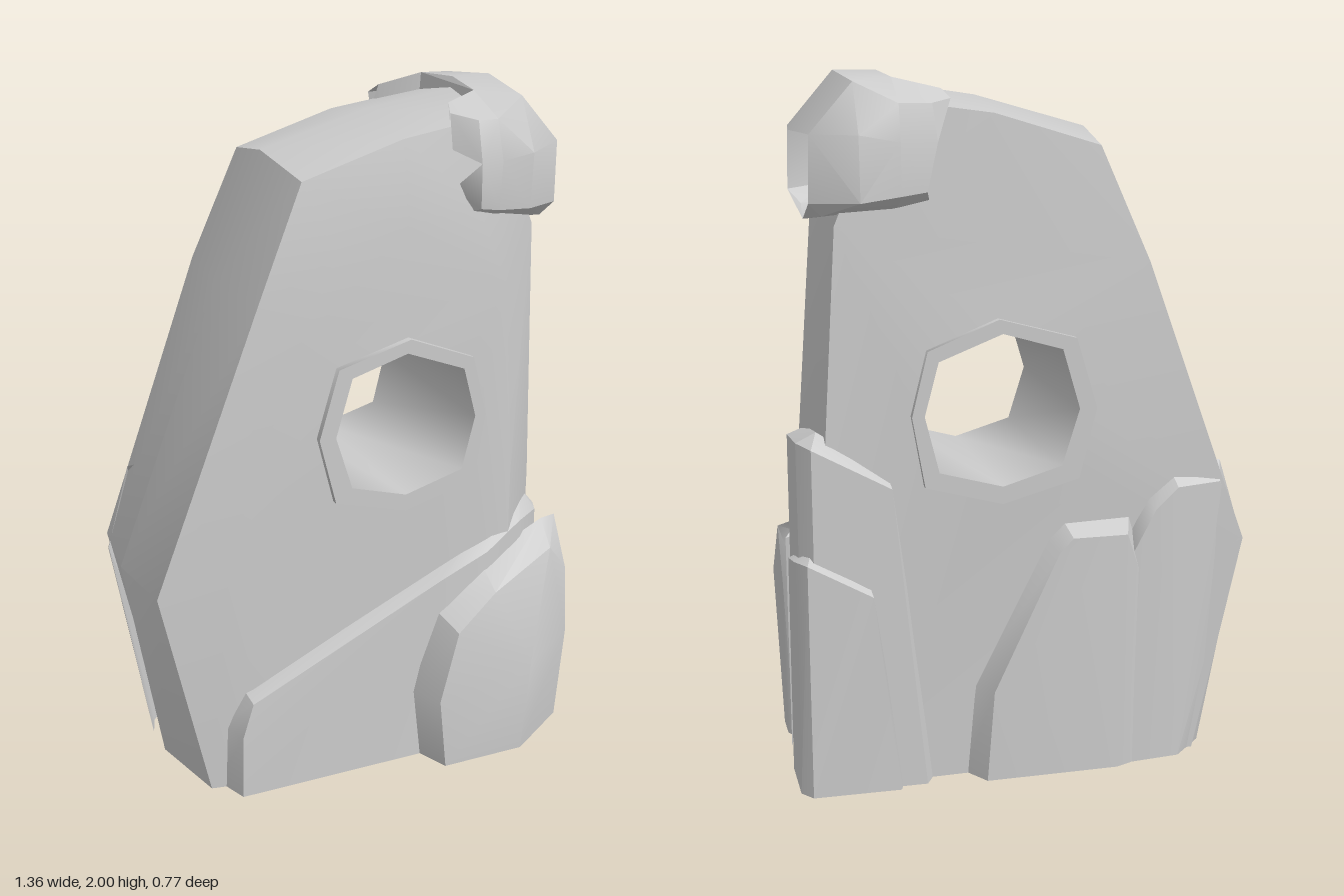
import * as THREE from 'three';
import { toCreasedNormals } from 'three/addons/utils/BufferGeometryUtils.js';
import { ConvexGeometry } from 'three/addons/geometries/ConvexGeometry.js';

// The stone is a hollow shell, open underneath
const material = new THREE.MeshStandardMaterial({ color: 0xcccccc, side: THREE.DoubleSide });

function addMesh(group, name, triangles, crease) {
  const g = new THREE.BufferGeometry();
  g.setAttribute('position', new THREE.Float32BufferAttribute(triangles.flat(), 3));
  const mesh = new THREE.Mesh(toCreasedNormals(g, crease), material);
  mesh.name = name;
  group.add(mesh);
}

// Closed strips of faces joining successive loops, leaving out faces on the ground
function loft(loops) {
  const tris = [];
  for (let k = 0; k < loops.length - 1; k++) {
    const a = loops[k], b = loops[k + 1];
    a.forEach((p, i) => {
      const j = (i + 1) % a.length;
      if (p[1] + b[i][1] + a[j][1] + b[j][1] === 0) return;
      tris.push(p, b[i], b[j], p, b[j], a[j]);
    });
  }
  return tris;
}

// Face between an outer loop and a hole loop, facing +z or -z
function holedFace(outer, hole, flip) {
  const flat = (loop) => loop.map(([x, y]) => new THREE.Vector2(x, y));
  const all = [...outer, ...hole];
  return THREE.ShapeUtils.triangulateShape(flat(outer), [flat(hole)])
    .flatMap(([a, b, c]) => (flip ? [all[a], all[c], all[b]] : [all[a], all[b], all[c]]));
}

// Angular stone chunk; faces on the ground or turned into the stone are left out
function chunk(group, name, outward, points) {
  const pos = new ConvexGeometry(points.map((p) => new THREE.Vector3(...p))).attributes.position;
  const out = new THREE.Vector3(...outward).normalize();
  const tris = [], normal = new THREE.Vector3();
  for (let i = 0; i < pos.count; i += 3) {
    const [a, b, c] = [0, 1, 2].map((k) => new THREE.Vector3().fromBufferAttribute(pos, i + k));
    new THREE.Triangle(a, b, c).getNormal(normal);
    const grounded = Math.max(a.y, b.y, c.y) < 0.001;
    if (!grounded && normal.dot(out) > -0.8) tris.push(a.toArray(), b.toArray(), c.toArray());
  }
  addMesh(group, name, tris, 0.55);
}

const atZ = (loop, z) => loop.map(([x, y]) => [x, y, z]);

export function createModel() {
  const group = new THREE.Group();
  group.name = 'standingStone';

  // Octagonal opening, inner and outer edges of its rim
  const inner = [[0.09, 0.87], [0.27, 0.92], [0.31, 1.08], [0.27, 1.23],
    [0.09, 1.30], [-0.08, 1.25], [-0.13, 1.08], [-0.08, 0.92]];
  const outer = [[0.09, 0.82], [0.31, 0.88], [0.345, 1.08], [0.30, 1.26],
    [0.10, 1.34], [-0.12, 1.28], [-0.18, 1.08], [-0.13, 0.88]];
  const middle = inner.map(([x, y], i) => [(x + outer[i][0]) / 2, (y + outer[i][1]) / 2]);

  // Main stone: front edge, bulging middle and back edge
  const front = [[-0.51, 0, 0.2], [0.59, 0, 0.08], [0.59, 0.8, 0.09], [0.54, 1.6, 0.14],
    [0.4, 1.93, 0.17], [0.1, 1.89, 0.19], [-0.2, 1.8, 0.19], [-0.34, 1.48, 0.215], [-0.65, 0.65, 0.19]];
  const waist = [[-0.57, 0, -0.06], [0.64, 0, -0.06], [0.635, 0.75, -0.06], [0.57, 1.62, -0.06],
    [0.4, 1.975, -0.06], [0.1, 1.93, -0.06], [-0.22, 1.84, -0.06], [-0.36, 1.48, -0.06], [-0.68, 0.65, -0.06]];
  const backZ = [-0.29, -0.31, -0.31, -0.31, -0.3, -0.3, -0.3, -0.32, -0.3];
  const back = front.map(([x, y], i) => [x, y, backZ[i]]);
  // Gently raised field of the front face
  const field = front.map(([x, y]) => [x + (0.09 - x) * 0.28, y && y + (1.08 - y) * 0.28, 0.23]);
  addMesh(group, 'stoneBody', [
    ...loft([field, front, waist, back]),
    ...holedFace(field, atZ(middle, 0.237), false),
    ...holedFace(back, atZ(middle, -0.335), true),
  ], 0.6);

  // Raised rim on both faces, joined by the tunnel
  addMesh(group, 'holeRim', loft([
    atZ(outer, -0.3), atZ(outer, -0.355), atZ(inner, -0.355),
    atZ(inner, 0.257), atZ(outer, 0.257), atZ(outer, 0.2),
  ]), 1.2);

  // Cap over the upper corner, with two arms gripping the crown
  const frontJoint = [[0.37, 1.985, 0.08], [0.37, 1.93, 0.225], [0.37, 1.82, 0.262],
    [0.37, 1.68, 0.25], [0.37, 1.64, 0.17]];
  const backJoint = [[0.37, 1.985, -0.25], [0.37, 1.92, -0.355], [0.37, 1.82, -0.378],
    [0.37, 1.68, -0.382], [0.37, 1.64, -0.3]];
  chunk(group, 'cap', [-1, 0, 0], [
    ...frontJoint, ...backJoint, [0.38, 2, -0.07], [0.37, 1.62, -0.06],
    [0.48, 1.975, 0.16], [0.5, 2, -0.07], [0.48, 1.975, -0.29],
    [0.6, 1.84, 0.16], [0.625, 1.84, -0.07], [0.6, 1.84, -0.3],
    [0.605, 1.66, 0.15], [0.625, 1.665, -0.07], [0.605, 1.66, -0.3],
    [0.57, 1.62, 0.13], [0.59, 1.595, -0.06], [0.57, 1.625, -0.29],
    [0.48, 1.83, 0.24], [0.48, 1.67, 0.23], [0.48, 1.84, -0.375], [0.48, 1.665, -0.388],
  ]);
  chunk(group, 'capFrontArm', [1, 0, 0], [
    ...frontJoint, [0.27, 1.965, 0.12], [0.25, 1.945, 0.17], [0.31, 1.93, 0.225],
    [0.3, 1.82, 0.272], [0.31, 1.69, 0.255], [0.245, 1.85, 0.2], [0.25, 1.74, 0.2], [0.28, 1.66, 0.18],
  ]);
  chunk(group, 'capBackArm', [1, 0, 0], [
    ...backJoint, [0.24, 1.955, -0.27], [0.22, 1.93, -0.3], [0.28, 1.92, -0.35],
    [0.27, 1.82, -0.372], [0.3, 1.69, -0.378], [0.22, 1.85, -0.3], [0.25, 1.74, -0.3], [0.28, 1.66, -0.3],
  ]);

  // Wide sloping slab along the front foot
  chunk(group, 'frontSlab', [0.2, 0, 1].map((v) => v), [
    [-0.48, 0, 0.17], [-0.475, 0.2, 0.17], [-0.41, 0.33, 0.17], [0.2, 0.62, 0.16], [0.47, 0.745, 0.14],
    [0.57, 0.74, 0.09], [0.655, 0.65, 0.025], [0.655, 0, 0.015], [0.55, 0.68, 0.03],
    [-0.44, 0, 0.28], [-0.435, 0.2, 0.28], [-0.4, 0.3, 0.275], [0.2, 0.58, 0.28], [0.36, 0.64, 0.27],
    [0.35, 0, 0.28], [0.5, 0.69, 0.21], [0.6, 0.68, 0.13], [0.62, 0, 0.14],
  ]);

  // Boulder at the front corner
  chunk(group, 'frontBoulder', [0.3, 0, 1], [
    [0.14, 0, 0.28], [0.11, 0.23, 0.29], [0.19, 0.48, 0.26], [0.35, 0.6, 0.24], [0.6, 0.665, 0.17],
    [0.665, 0.655, 0.14], [0.63, 0.55, 0.07], [0.64, 0, 0.08], [0.66, 0.5, 0.095],
    [0.18, 0, 0.375], [0.155, 0.23, 0.38], [0.22, 0.44, 0.365], [0.35, 0.54, 0.345], [0.59, 0.6, 0.25],
    [0.44, 0, 0.375], [0.46, 0.3, 0.385], [0.64, 0, 0.24], [0.66, 0.3, 0.25],
    [0.655, 0, 0.2], [0.675, 0.5, 0.205], [0.655, 0, 0.11],
  ]);

  // Two stepped slabs on the back corner
  chunk(group, 'tallCornerSlab', [1, 0, -1], [
    [0.655, 0, -0.07], [0.655, 0.99, -0.085], [0.655, 1.01, -0.28], [0.655, 0, -0.3],
    [0.6, 1.01, -0.08], [0.6, 1.04, -0.29], [0.62, 1.0, -0.335], [0.62, 0, -0.34],
    [0.4, 0.88, -0.345], [0.31, 0, -0.345], [0.41, 0.92, -0.29], [0.28, 0, -0.29], [0.6, 0, -0.05],
  ]);
  chunk(group, 'shortCornerSlab', [1, 0, -1], [
    [0.67, 0, -0.15], [0.67, 0.65, -0.165], [0.67, 0.68, -0.3], [0.67, 0, -0.32],
    [0.62, 0.67, -0.16], [0.62, 0.71, -0.3], [0.64, 0.68, -0.355], [0.64, 0, -0.36],
    [0.46, 0.58, -0.365], [0.39, 0, -0.365], [0.47, 0.62, -0.31], [0.37, 0, -0.31], [0.62, 0, -0.14],
  ]);

  // Slabs along the back foot
  chunk(group, 'backSlab', [0, 0, -1], [
    [0.19, 0, -0.29], [0.17, 0.27, -0.29], [-0.04, 0.71, -0.29], [-0.09, 0.76, -0.29], [-0.3, 0.76, -0.29],
    [0.14, 0, -0.37], [0.12, 0.27, -0.375], [-0.07, 0.67, -0.375], [-0.11, 0.71, -0.375], [-0.27, 0.71, -0.375],
    [-0.33, 0.55, -0.345], [-0.25, 0, -0.37], [-0.31, 0, -0.345],
  ]);
  chunk(group, 'backCornerSlab', [-0.5, 0, -1], [
    [-0.26, 0, -0.28], [-0.26, 0.64, -0.28], [-0.34, 0.82, -0.28], [-0.42, 0.88, -0.28], [-0.59, 0.88, -0.25],
    [-0.68, 0.66, -0.18], [-0.57, 0, -0.17], [-0.28, 0, -0.35], [-0.28, 0.62, -0.355], [-0.36, 0.77, -0.355],
    [-0.43, 0.83, -0.345], [-0.57, 0.83, -0.31], [-0.665, 0.63, -0.24], [-0.545, 0, -0.24], [-0.45, 0, -0.335],
  ]);

  return group;
}
